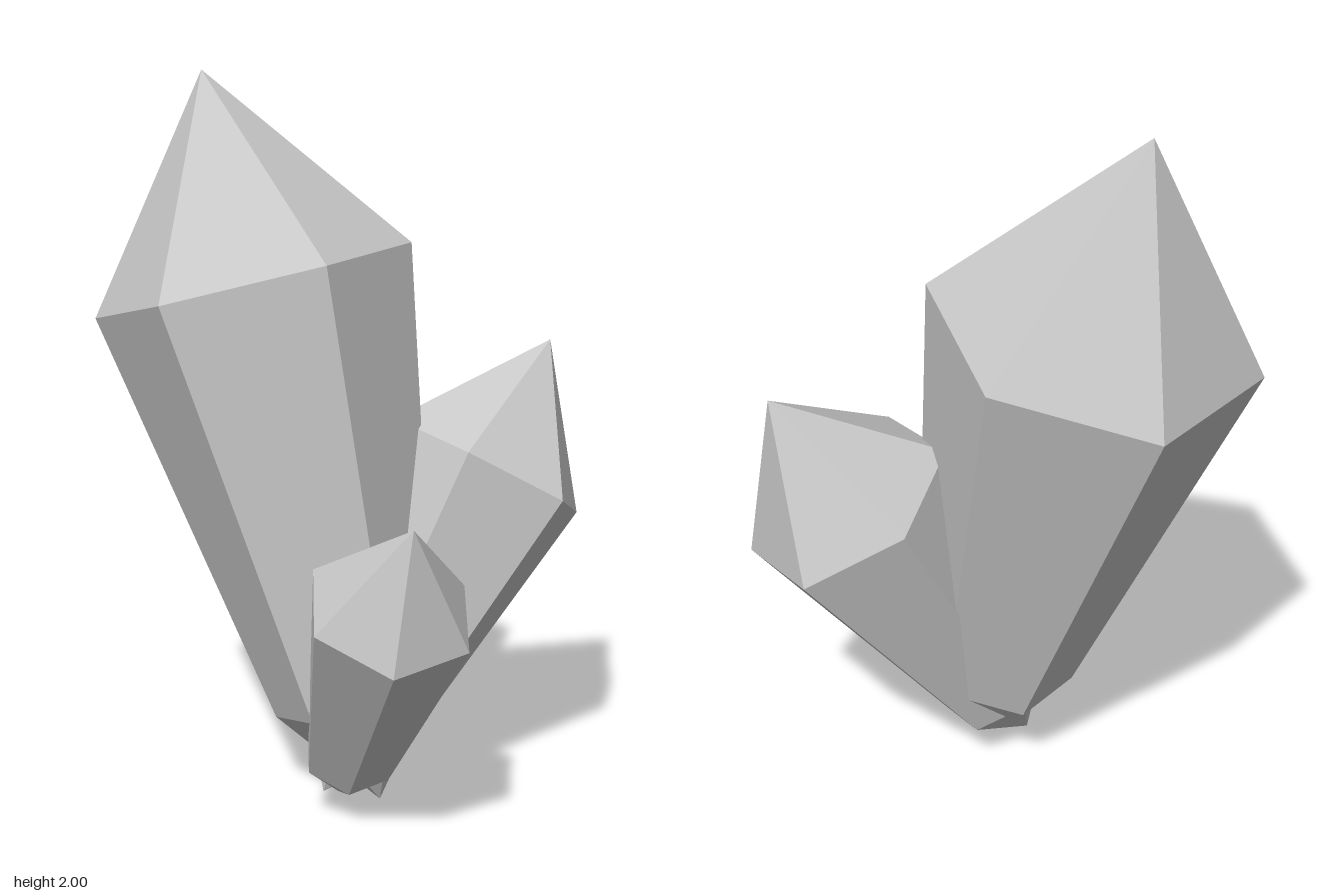
import * as THREE from 'three';

const crystalGrey = new THREE.MeshStandardMaterial({ color: 0xc8c8c8, flatShading: true });

// Six-sided crystal: root point, narrow lower ring, wide shoulder ring, tip.
// corner is one shoulder corner; it sets the shoulder radius and the twist.
function crystal(name, { root, shoulder, tip, corner, lowerY, lowerScale }) {
  const [r, s, t, c] = [root, shoulder, tip, corner].map(p => new THREE.Vector3(...p));
  const yAxis = t.clone().sub(r).normalize();
  const zAxis = c.clone().sub(s);
  zAxis.addScaledVector(yAxis, -zAxis.dot(yAxis));
  const radius = zAxis.length();
  zAxis.normalize();
  const xAxis = yAxis.clone().cross(zAxis);

  const shoulderH = s.clone().sub(r).dot(yAxis);
  const lowerH = (lowerY - r.y) / yAxis.y;
  const profile = [
    [0, 0], [radius * lowerScale, lowerH], [radius, shoulderH], [0, t.distanceTo(r)],
  ].map(([x, y]) => new THREE.Vector2(x, y));

  const geometry = new THREE.LatheGeometry(profile, 6).toNonIndexed();
  geometry.computeVertexNormals();
  geometry.applyMatrix4(new THREE.Matrix4().makeBasis(xAxis, yAxis, zAxis).setPosition(r));
  const mesh = new THREE.Mesh(geometry, crystalGrey);
  mesh.name = name;
  return mesh;
}

export function createModel() {
  const group = new THREE.Group();
  group.name = 'crystalCluster';
  group.add(
    // tall crystal leaning back and to one side
    crystal('largeCrystal', {
      root: [0.062, 0.005, 0.052], shoulder: [-0.241, 1.437, -0.222], tip: [-0.363, 2, -0.33],
      corner: [-0.668, 1.332, -0.295], lowerY: 0.287, lowerScale: 0.51,
    }),
    // middle crystal leaning outwards
    crystal('mediumCrystal', {
      root: [-0.092, 0.025, 0.018], shoulder: [0.401, 0.903, -0.142], tip: [0.595, 1.245, -0.205],
      corner: [0.665, 0.755, -0.14], lowerY: 0.191, lowerScale: 0.51,
    }),
    // short crystal leaning forwards
    crystal('smallCrystal', {
      root: [-0.053, 0.03, 0.037], shoulder: [0.015, 0.687, 0.431], tip: [0.043, 0.946, 0.586],
      corner: [-0.015, 0.575, 0.631], lowerY: 0.161, lowerScale: 0.55,
    }),
  );
  return group;
}
